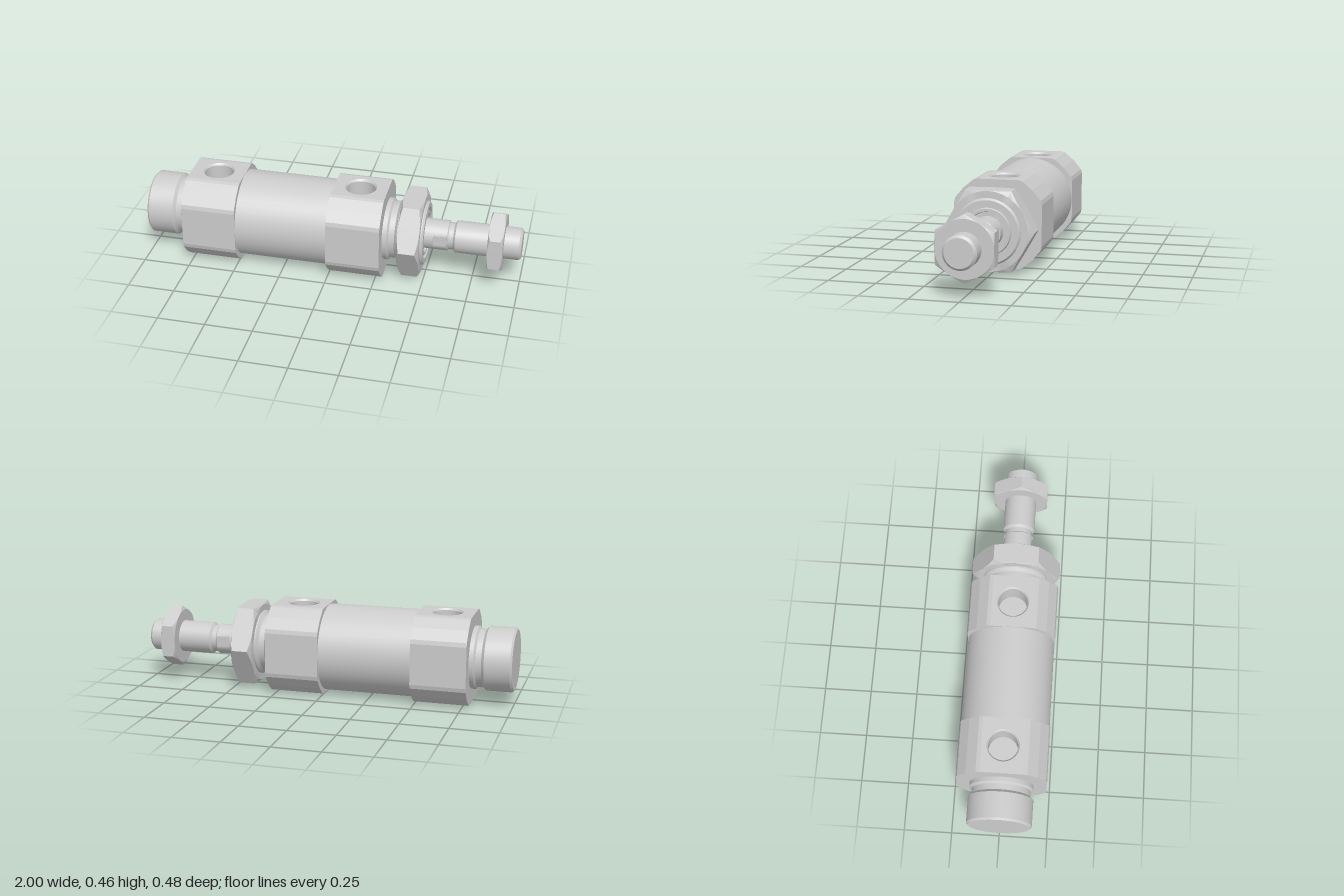
import * as THREE from 'three';
import { mergeGeometries, toCreasedNormals } from 'three/addons/utils/BufferGeometryUtils.js';

const AXIS_Y = 0.232;
const HALF = 0.232;
const SEGMENTS = 48;
const material = new THREE.MeshStandardMaterial({ color: 0xcccccc });
const flatMaterial = new THREE.MeshStandardMaterial({ color: 0xcccccc, flatShading: true });

// Crease at a larger scale so that small details keep their own normals
function crease(geometry, angle = 0.45) {
  geometry.scale(100, 100, 100);
  const result = toCreasedNormals(geometry, angle);
  result.scale(0.01, 0.01, 0.01);
  return result;
}

// Profile of [x, radius] pairs revolved round the long axis
function turned(profile, reshape) {
  const points = profile.map(([x, r]) => new THREE.Vector2(r, x));
  const geometry = new THREE.LatheGeometry(points, SEGMENTS);
  geometry.rotateZ(-Math.PI / 2);
  if (reshape) reshape(geometry.attributes.position, points.length);
  return crease(geometry);
}

// Hexagon nut with conical chamfers on both faces
function nut(x0, x1, apothem, turn) {
  const profile = [[x0, 0], [x0, apothem], [x0, apothem], [x1, apothem], [x1, apothem], [x1, 0]];
  return turned(profile, (pos, rows) => {
    for (let i = 0; i < pos.count; i++) {
      const row = i % rows;
      if (row !== 2 && row !== 3) continue;
      const phi = Math.floor(i / rows) / SEGMENTS * Math.PI * 2;
      const third = Math.PI / 3;
      const local = ((phi - turn + 4 * Math.PI) % third) - third / 2;
      const r = apothem / Math.cos(local);
      const drop = (r - apothem) * 0.45 + 0.001;
      pos.setXYZ(i, row === 2 ? x0 + drop : x1 - drop, -r * Math.sin(phi), r * Math.cos(phi));
    }
  });
}

// Cap cross-section as [z, y]: a square with rounded, faceted corners
function capSection() {
  const q = [[0.11, HALF], [0.13, 0.226], [0.182, 0.183], [0.226, 0.13], [HALF, 0.108]];
  const flip = (sz, sy) => q.map(([z, y]) => [z * sz, y * sy]);
  return [...q, ...flip(1, -1).reverse(), ...flip(-1, -1), ...flip(-1, 1).reverse()];
}

function capGeometry(x0, x1, portX) {
  const section = capSection();
  // Side walls, leaving the top flat open
  const verts = [];
  for (let i = 0; i < section.length - 1; i++) {
    const [pz, py] = section[i];
    const [nz, ny] = section[i + 1];
    verts.push(x0, py, pz, x0, ny, nz, x1, py, pz);
    verts.push(x1, py, pz, x0, ny, nz, x1, ny, nz);
  }
  const walls = new THREE.BufferGeometry();
  walls.setAttribute('position', new THREE.Float32BufferAttribute(verts, 3));
  walls.computeVertexNormals();

  // End faces
  const outline = new THREE.Shape(section.map(([z, y]) => new THREE.Vector2(z, y)));
  const front = new THREE.ShapeGeometry(outline).rotateY(Math.PI / 2).translate(x1, 0, 0);
  const back = new THREE.ShapeGeometry(outline).rotateY(-Math.PI / 2).translate(x0, 0, 0);

  // Top flat with the port opening
  const flat = new THREE.Shape([
    new THREE.Vector2(x0, -0.11), new THREE.Vector2(x1, -0.11),
    new THREE.Vector2(x1, 0.11), new THREE.Vector2(x0, 0.11),
  ]);
  flat.holes.push(new THREE.Path().absarc(portX, 0, 0.084, 0, Math.PI * 2, true));
  const top = new THREE.ShapeGeometry(flat, 24).rotateX(-Math.PI / 2).translate(0, HALF, 0);

  const parts = [walls, front, back, top].map((g) => {
    const plain = g.index ? g.toNonIndexed() : g;
    plain.deleteAttribute('uv');
    return plain;
  });
  return mergeGeometries(parts);
}

// Blind port with a chamfered mouth
function portGeometry(x) {
  const points = [[0.084, HALF], [0.076, 0.222], [0.076, 0.11], [0, 0.11]]
    .map(([r, y]) => new THREE.Vector2(r, y));
  return crease(new THREE.LatheGeometry(points, SEGMENTS)).translate(x, 0, 0);
}

export function createModel() {
  const model = new THREE.Group();
  model.name = 'pneumaticCylinder';
  const body = new THREE.Group();
  body.name = 'cylinderAssembly';
  body.position.y = AXIS_Y;
  model.add(body);

  const add = (name, geometry, mat = material) => {
    const mesh = new THREE.Mesh(geometry, mat);
    mesh.name = name;
    body.add(mesh);
  };

  // Barrel and the two ported end caps
  add('barrel', turned([[-0.5, 0.23], [0.01, 0.23]]));
  const caps = [['rear', -0.78, -0.49, -0.635], ['front', 0, 0.285, 0.14]];
  for (const [side, x0, x1, portX] of caps) {
    add(side + 'Cap', capGeometry(x0, x1, portX), flatMaterial);
    add(side + 'Port', portGeometry(portX));
  }

  // Mounting spigots with relief grooves
  add('rearSpigot', turned([
    [-1, 0], [-1, 0.158], [-0.99, 0.168], [-0.857, 0.168], [-0.842, 0.152],
    [-0.812, 0.152], [-0.802, 0.165], [-0.775, 0.165],
  ]));
  add('frontSpigot', turned([
    [0.28, 0.165], [0.308, 0.165], [0.318, 0.152], [0.348, 0.152], [0.363, 0.171],
    [0.49, 0.171], [0.5, 0.162], [0.5, 0.138], [0.485, 0.138], [0.485, 0.122],
    [0.497, 0.118], [0.497, 0.104], [0.475, 0.098], [0.475, 0.07],
  ]));
  add('mountingNut', nut(0.37, 0.485, 0.206, 0));

  // Piston rod with two wrench flats and a threaded tip
  const flatZ = 0.073;
  add('pistonRod', turned([
    [0.46, 0.08], [0.54, 0.08], [0.542, 0.08], [0.612, 0.08], [0.614, 0.08],
    [0.62, 0.072], [0.645, 0.072], [0.656, 0.085], [0.988, 0.085], [1, 0.073], [1, 0],
  ], (pos) => {
    for (let i = 0; i < pos.count; i++) {
      const x = pos.getX(i);
      if (x > 0.541 && x < 0.613) pos.setZ(i, THREE.MathUtils.clamp(pos.getZ(i), -flatZ, flatZ));
    }
  }));
  add('rodNut', nut(0.83, 0.91, 0.146, Math.PI / 6));

  return model;
}
